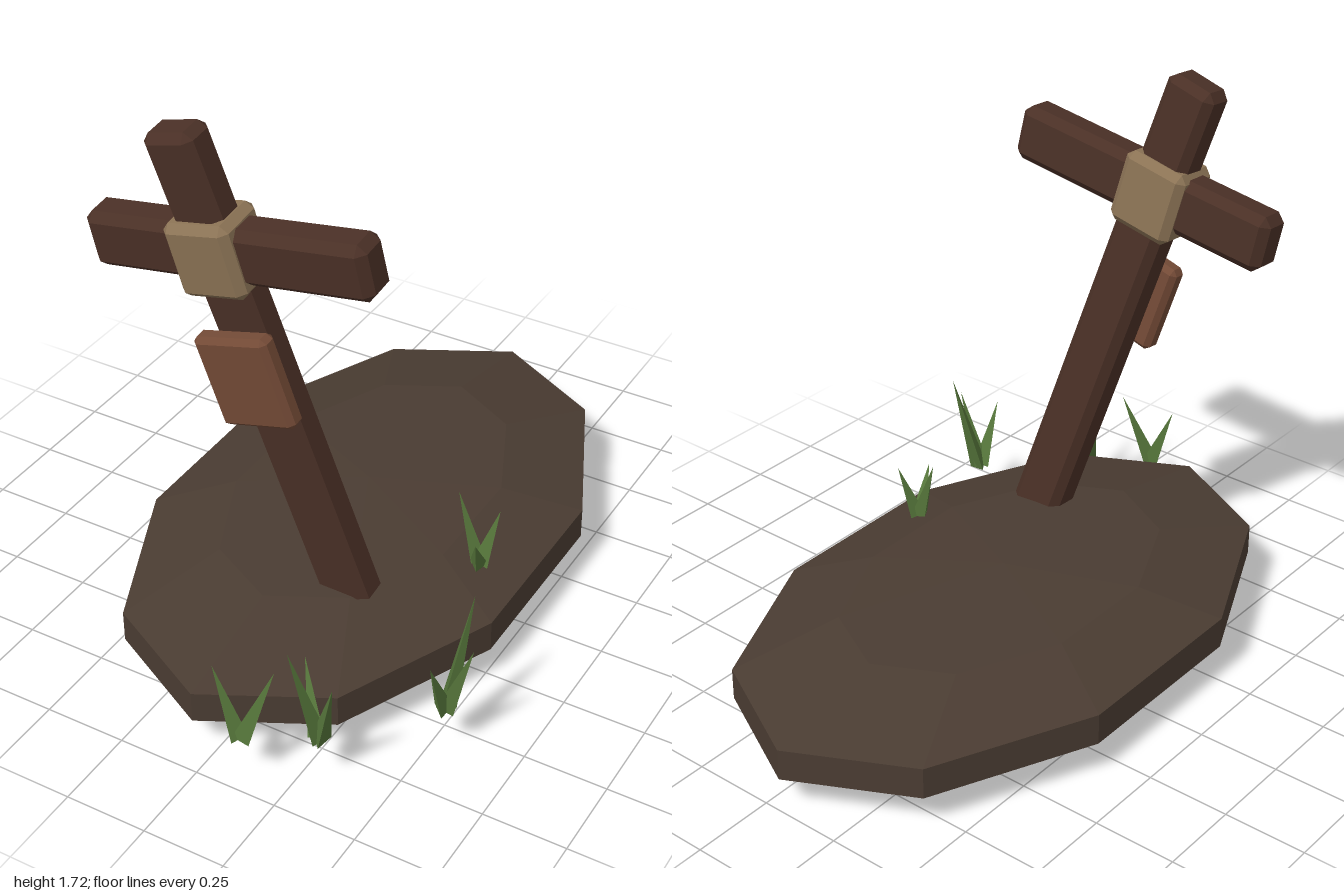
import * as THREE from 'three';
import { ConvexGeometry } from 'three/addons/geometries/ConvexGeometry.js';

const mat = (color) => new THREE.MeshStandardMaterial({ color, flatShading: true });

// Box with every edge cut by a flat chamfer c
function chamferBox(w, h, d, c) {
  const pts = [];
  for (const sx of [-1, 1]) for (const sy of [-1, 1]) for (const sz of [-1, 1]) {
    for (let k = 0; k < 3; k++) {
      const inset = [c, c, c];
      inset[k] = 0;
      pts.push(new THREE.Vector3(
        sx * (w / 2 - inset[0]), sy * (h / 2 - inset[1]), sz * (d / 2 - inset[2])));
    }
  }
  return new ConvexGeometry(pts);
}

export function createModel() {
  const model = new THREE.Group();
  model.name = 'graveMarker';

  const add = (name, geometry, material, pos, rot = [0, 0, 0]) => {
    const mesh = new THREE.Mesh(geometry, material);
    mesh.name = name;
    mesh.position.set(...pos);
    mesh.rotation.set(...rot);
    model.add(mesh);
    return mesh;
  };

  const earth = mat(0x4a3c32);
  const wood = mat(0x4a3026);
  const rope = mat(0x8b7355);
  const board = mat(0x734a36);
  const green = mat(0x55753a);

  // Flattened low-poly earth mound
  const mound = new THREE.SphereGeometry(1, 10, 5);
  mound.rotateY(Math.PI / 2);
  mound.scale(0.635, 0.157, 1.015);
  add('mound', mound, earth, [-0.055, 0.164, -0.035]);

  // Leaning post, sunk into the mound
  const top = new THREE.Vector3(-0.288, 1.71, 0.539);
  const bottom = new THREE.Vector3(0.149, 0.2, 0.374);
  const middle = top.clone().add(bottom).multiplyScalar(0.5);
  add('post', chamferBox(0.162, top.distanceTo(bottom), 0.114, 0.024), wood,
    middle.toArray(), [0.11, 0, 0.28]);

  // Crossbar, its binding, and the small board on the front
  add('crossbar', chamferBox(0.87, 0.17, 0.118, 0.025), wood,
    [-0.142, 1.376, 0.503], [0.09, 0.02, 0.16]);
  add('binding', chamferBox(0.208, 0.225, 0.17, 0.022), rope,
    [-0.19, 1.361, 0.504], [0.1, 0.02, 0.22]);
  add('namelessBoard', chamferBox(0.242, 0.285, 0.063, 0.016), board,
    [-0.087, 1.007, 0.543], [0.09, 0, 0.28]);

  // Grass tufts: a root and the tips of its blades
  const tufts = [
    { root: [0.12, 0.157, 0.96], tips: [[0.04, 0.37, 0.95], [0.2, 0.39, 0.915]] },
    { root: [0.305, 0.157, 0.85], tips: [[0.265, 0.5, 0.93], [0.23, 0.36, 0.79], [0.38, 0.41, 0.91]] },
    { root: [0.54, 0.157, 0.58], tips: [[0.575, 0.5, 0.49], [0.622, 0.4, 0.585], [0.54, 0.36, 0.66]] },
    { root: [0.385, 0.25, 0.09], tips: [[0.312, 0.47, 0.07], [0.425, 0.43, 0.05], [0.415, 0.39, 0.17]] },
  ];
  const up = new THREE.Vector3(0, 1, 0);
  for (const { root, tips } of tufts) {
    const tuft = new THREE.Group();
    tuft.name = 'grassTuft';
    tips.forEach((tip, i) => {
      const dir = new THREE.Vector3(...tip).sub(new THREE.Vector3(...root));
      const length = dir.length();
      const cone = new THREE.ConeGeometry(0.03, length, 3);
      cone.translate(0, length / 2, 0);
      cone.rotateY(i * 1.2);
      const blade = new THREE.Mesh(cone, green);
      blade.name = 'grassBlade';
      dir.normalize();
      // Spread the blade feet slightly towards their lean
      blade.position.set(root[0] + dir.x * 0.02, root[1], root[2] + dir.z * 0.02);
      blade.quaternion.setFromUnitVectors(up, dir);
      tuft.add(blade);
    });
    model.add(tuft);
  }

  return model;
}
